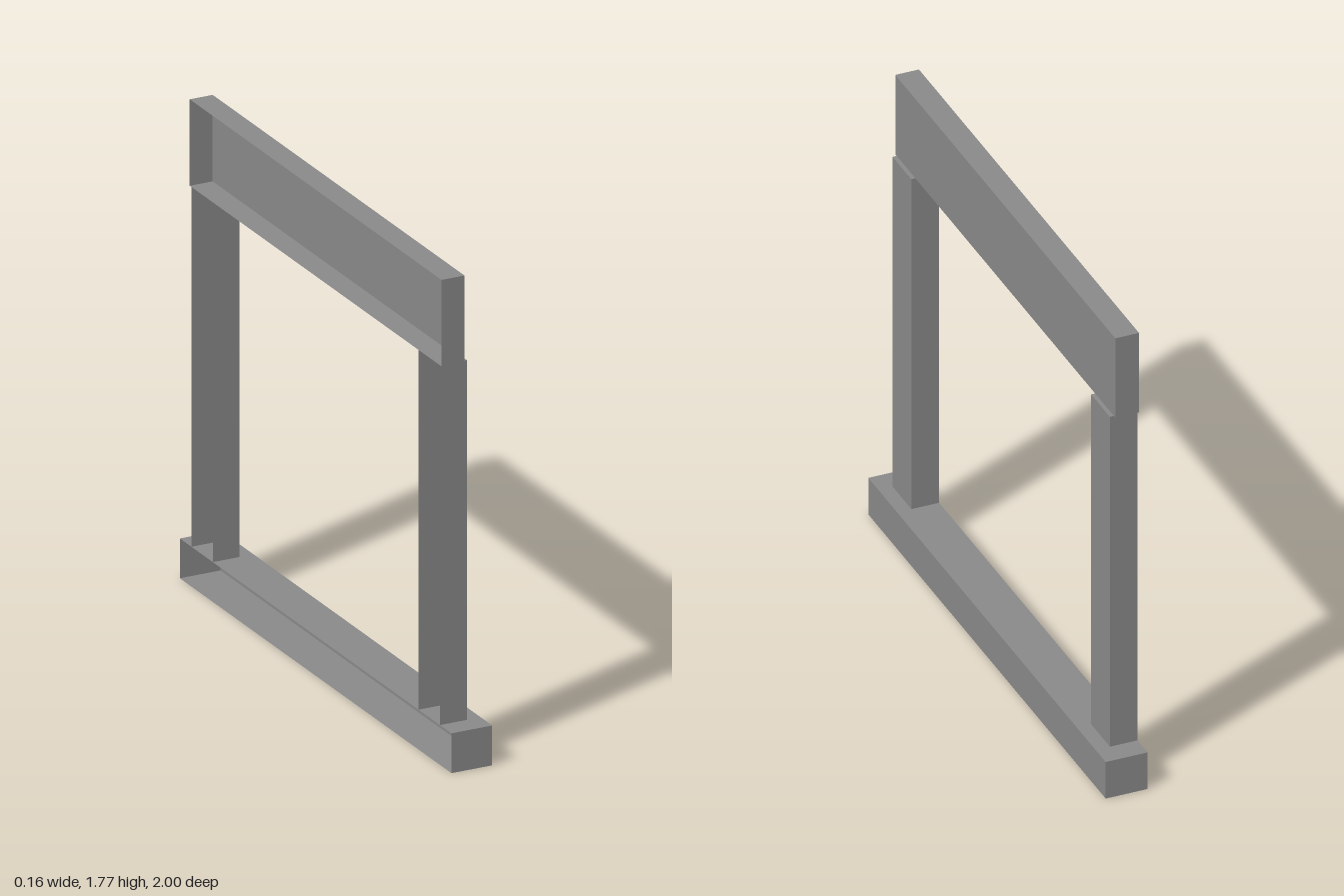
import * as THREE from 'three';

const BACK = -0.0775; // shared plane of the open side

export function createModel() {
  const model = new THREE.Group();
  model.name = 'doorFrame';
  const stone = new THREE.MeshStandardMaterial({ color: 0x8a8a8a, side: THREE.DoubleSide });
  stone.name = 'plain grey';

  // Box shell reaching from the back plane to xMax, with its -x face left open
  function shell(name, xMax, y0, y1, z0, z1) {
    const geo = new THREE.BoxGeometry(xMax - BACK, y1 - y0, z1 - z0);
    const index = Array.from(geo.index.array);
    index.splice(6, 6); // second face of the box is -x
    geo.setIndex(index);
    geo.clearGroups();
    geo.translate((xMax + BACK) / 2, (y0 + y1) / 2, (z0 + z1) / 2);
    const mesh = new THREE.Mesh(geo, stone);
    mesh.name = name;
    model.add(mesh);
  }

  // Sill along the ground
  shell('sill', 0.0775, 0, 0.145, -1, 1);

  // Upright posts
  shell('frontPost', 0.025, 0.145, 1.455, 0.757, 0.915);
  shell('rearPost', 0.025, 0.145, 1.455, -0.915, -0.757);

  // Lintel across the posts
  shell('lintel', 0.01, 1.455, 1.77, -0.927, 0.927);

  return model;
}
